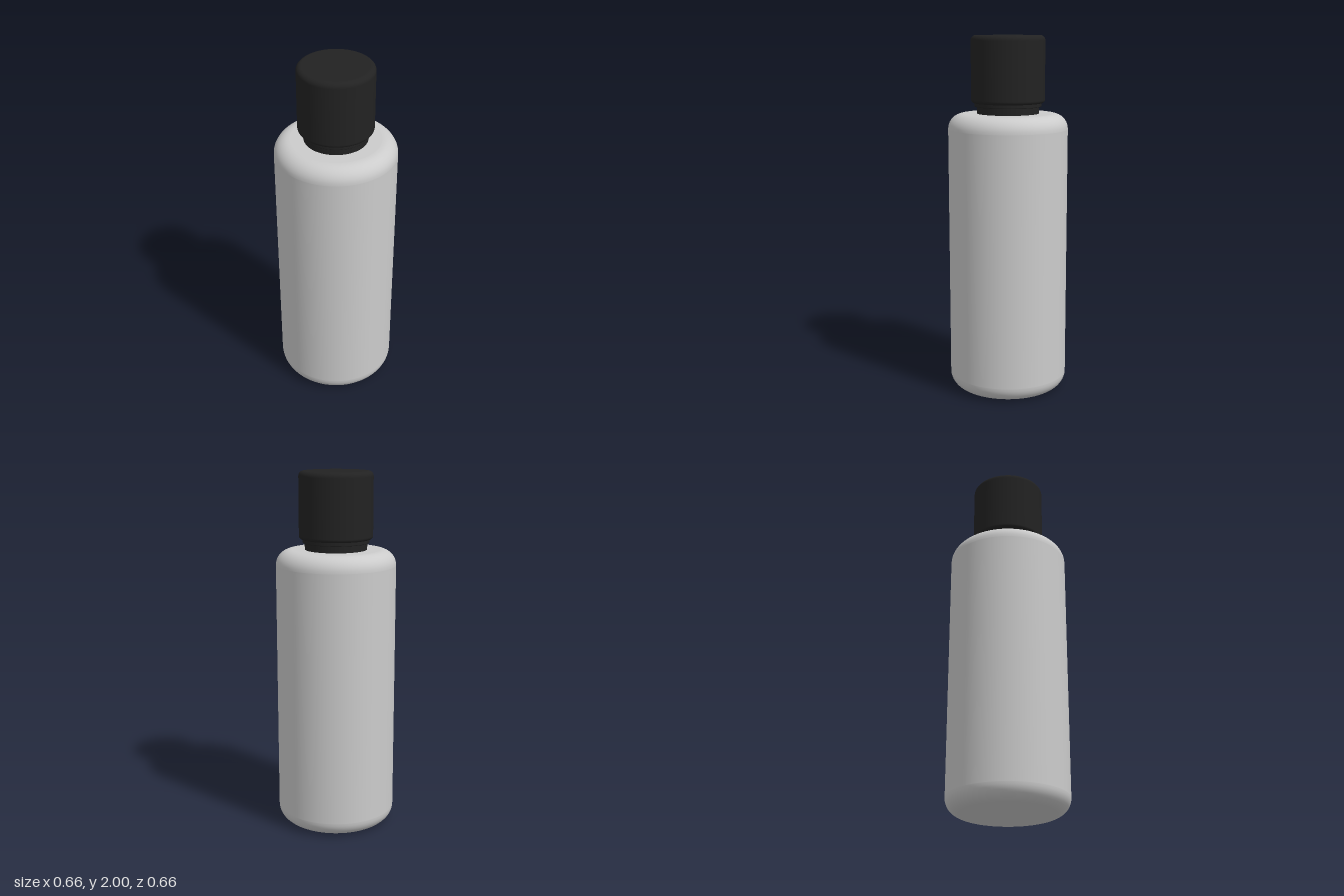
import * as THREE from 'three';

const SEGMENTS = 96;

// Closed solid of revolution with rounded bottom and top edges.
function roundedCylinder(name, radius, y0, y1, bottomRound, topRound, material) {
  const pts = [new THREE.Vector2(0, y0)];
  const steps = 10;
  const eps = 0.002; // short straight lead-ins keep the flat faces evenly shaded
  const arc = (cy, r, from) => {
    for (let i = 0; i <= steps; i++) {
      const a = from + (i / steps) * Math.PI / 2;
      pts.push(new THREE.Vector2(radius - r + r * Math.cos(a), cy + r * Math.sin(a)));
    }
  };
  pts.push(new THREE.Vector2(radius - bottomRound - eps, y0));
  arc(y0 + bottomRound, bottomRound, -Math.PI / 2);
  pts.push(new THREE.Vector2(radius, y0 + bottomRound + eps));
  pts.push(new THREE.Vector2(radius, y1 - topRound - eps));
  arc(y1 - topRound, topRound, 0);
  pts.push(new THREE.Vector2(radius - topRound - eps, y1));
  pts.push(new THREE.Vector2(0, y1));
  const mesh = new THREE.Mesh(new THREE.LatheGeometry(pts, SEGMENTS), material);
  mesh.name = name;
  return mesh;
}

export function createModel() {
  const group = new THREE.Group();
  group.name = 'bottle';
  const grey = new THREE.MeshStandardMaterial({ color: 0xcccccc });
  const black = new THREE.MeshStandardMaterial({ color: 0x222222 });

  // Body
  group.add(roundedCylinder('body', 0.332, 0, 1.575, 0.085, 0.085, grey));

  // Neck with a thin collar under the cap
  const neck = new THREE.Mesh(new THREE.CylinderGeometry(0.172, 0.172, 0.08, SEGMENTS), black);
  neck.name = 'neck';
  neck.position.y = 1.605;
  group.add(neck);
  group.add(roundedCylinder('collar', 0.185, 1.612, 1.645, 0.004, 0.004, black));

  // Screw cap
  group.add(roundedCylinder('cap', 0.204, 1.632, 2, 0.018, 0.028, black));
  return group;
}
